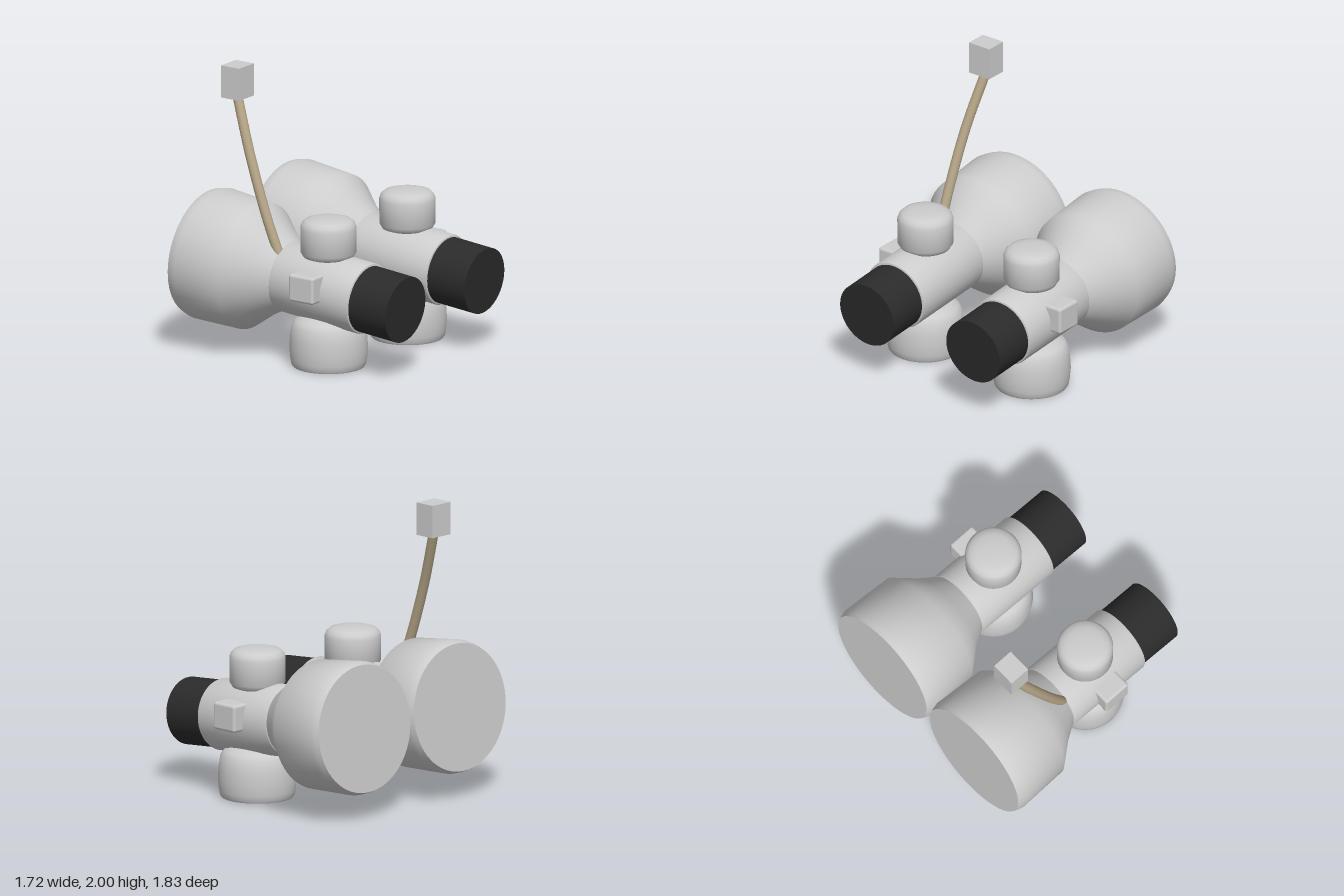
import * as THREE from 'three';
import { toCreasedNormals } from 'three/addons/utils/BufferGeometryUtils.js';
import { RoundedBoxGeometry } from 'three/addons/geometries/RoundedBoxGeometry.js';

const SPACING = 0.456; // distance of each barrel from the centre plane
const TILT = THREE.MathUtils.degToRad(5);

const shell = new THREE.MeshStandardMaterial({ color: 0xcccccc });
shell.name = 'light grey shell';
const rubber = new THREE.MeshStandardMaterial({ color: 0x2b2b2b });
rubber.name = 'black rubber';
const cord = new THREE.MeshStandardMaterial({ color: 0xb5a587 });
cord.name = 'tan cord';

function part(name, geometry, material, x = 0, y = 0, z = 0) {
  const mesh = new THREE.Mesh(geometry, material);
  mesh.name = name;
  mesh.position.set(x, y, z);
  return mesh;
}

// Turned part: profile pairs are [radius, height], from bottom to top
function turned(profile) {
  const points = profile.map(([r, h]) => new THREE.Vector2(r, h));
  return toCreasedNormals(new THREE.LatheGeometry(points, 64), 0.75);
}

function createTube(side) {
  const tube = new THREE.Group();
  tube.name = side > 0 ? 'leftTube' : 'rightTube';
  tube.position.z = side * SPACING;

  // Barrel parts share one slightly drooping axis
  const barrel = new THREE.Group();
  barrel.name = 'barrel';
  barrel.position.set(-0.826, 0.632, 0);
  barrel.rotation.z = -Math.PI / 2 - TILT;
  barrel.add(part('bell', turned([
    [0, 0], [0.437, 0], [0.447, 0.025], [0.457, 0.066], [0.441, 0.424],
    [0.318, 0.575], [0.235, 0.705], [0.2, 0.75],
  ]), shell));
  barrel.add(part('body', turned([
    [0, 0.7], [0.233, 0.7], [0.242, 0.704], [0.246, 0.714],
    [0.246, 1.348], [0.242, 1.358], [0.233, 1.362], [0, 1.362],
  ]), shell));
  barrel.add(part('eyepiece', turned([
    [0, 1.35], [0.23, 1.35], [0.23, 1.672], [0, 1.672],
  ]), rubber));
  tube.add(barrel);

  // Upright knob and foot
  tube.add(part('knob', turned([
    [0, 0.745], [0.135, 0.75], [0.17, 0.762], [0.19, 0.795], [0.191, 0.965],
    [0.182, 0.992], [0.16, 1.014], [0.12, 1.026], [0.06, 1.032], [0, 1.033],
  ]), shell, 0.198));
  tube.add(part('foot', turned([
    [0, 0], [0.245, 0], [0.253, 0.012], [0.26, 0.05], [0.267, 0.12], [0.262, 0.2],
    [0.25, 0.285], [0.225, 0.32], [0.18, 0.344], [0.12, 0.357], [0, 0.362],
  ]), shell, 0.2));

  // Outer side button
  tube.add(part('sideButton', new RoundedBoxGeometry(0.205, 0.19, 0.16, 3, 0.02),
    shell, 0.198, 0.595, side * (0.702 - SPACING)));
  return tube;
}

export function createModel() {
  const model = new THREE.Group();
  model.name = 'twinTubes';
  for (const side of [-1, 1]) model.add(createTube(side));

  // Bent cord with a block on its end
  const path = new THREE.CatmullRomCurve3([
    new THREE.Vector3(-0.11, 0.71, 0.575),
    new THREE.Vector3(-0.155, 0.82, 0.582),
    new THREE.Vector3(-0.235, 1.02, 0.583),
    new THREE.Vector3(-0.38, 1.4, 0.56),
    new THREE.Vector3(-0.535, 1.8, 0.5),
  ]);
  model.add(part('cord', new THREE.TubeGeometry(path, 40, 0.034, 20), cord));
  model.add(part('cordBlock', new THREE.BoxGeometry(0.152, 0.225, 0.174),
    shell, -0.527, 1.8875, 0.503));
  return model;
}
